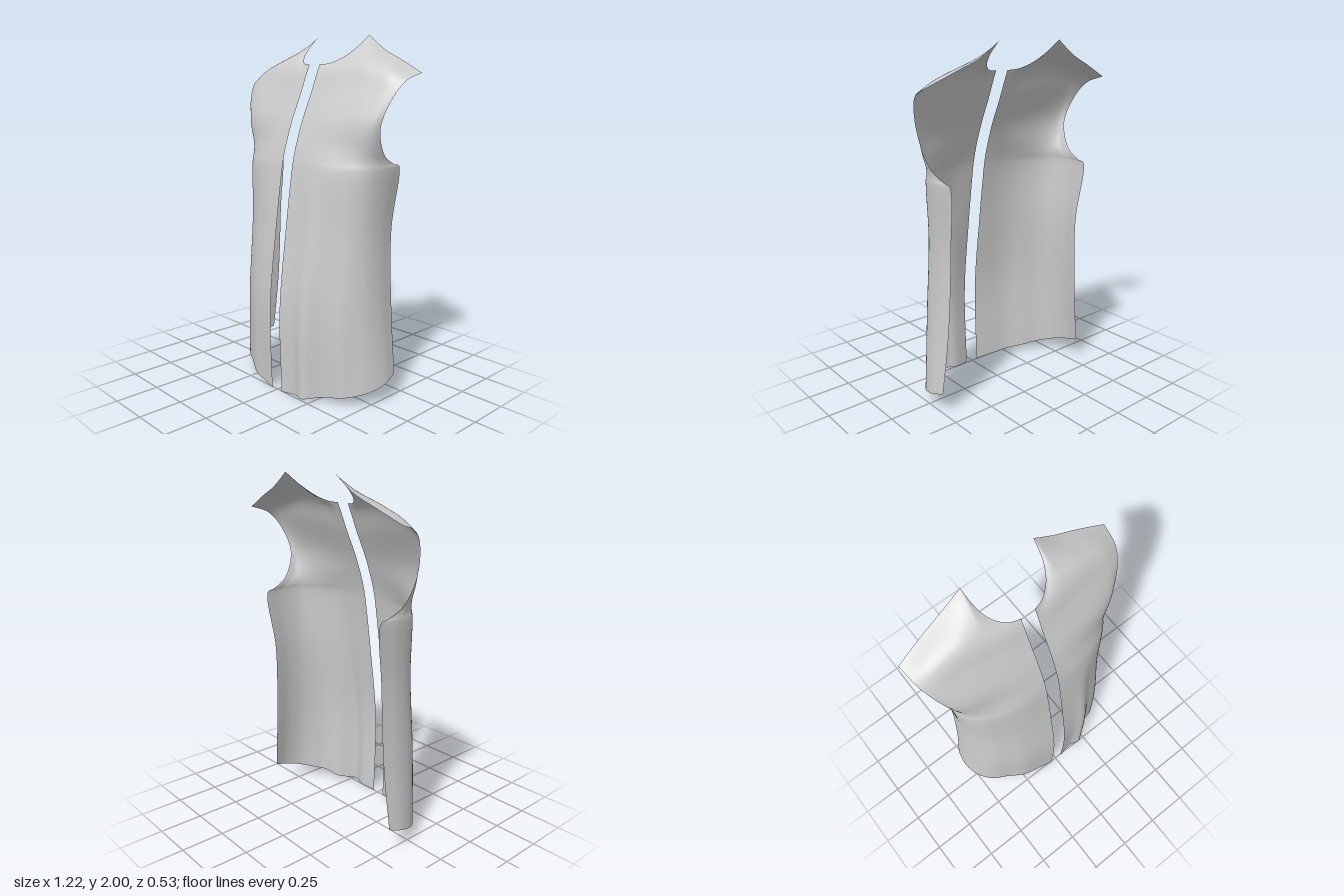
import * as THREE from 'three';

const { lerp, clamp } = THREE.MathUtils;
const spline = (pts) => new THREE.CatmullRomCurve3(pts.map((p) => new THREE.Vector3(...p)));

// How far out (x) and how far forward (z) the cloth sits between the
// opening and the outer edge: hem, chest and yoke proportions
const REACH = [[.385, .615, .845, .98, 1.025], [.41, .66, .87, .985, 1.025], [.27, .45, .62, .75, .89]];
const DEPTH = [[.91, .8, .64, .44, .21], [.97, .89, .755, .585, .32], [.88, .72, .56, .42, .25]];

// Cross-section from the centre opening round to the side seam or armhole;
// zone runs 0 hem, 1 chest, 2 yoke and rise lifts the middle over the shoulder
function section(yc, zc, xe, ye, ze, zone, rise) {
  const k = zone < 1 ? 0 : 1;
  const mix = (table, i) => lerp(table[k][i], table[k + 1][i], zone - k);
  const pts = [[.04, yc, zc]];
  for (let i = 0; i < 5; i++) {
    const t = (i + 1) / 6, lift = rise * Math.sin(Math.PI * t);
    pts.push([xe * mix(REACH, i), lerp(yc, ye, t ** 1.3) + lift, lerp(ze, zc, mix(DEPTH, i)) - .3 * lift]);
  }
  pts.push([xe, ye, ze]);
  return spline(pts);
}

// Sections from the hem up
const SECTIONS = [
  section(0, .256, .52, .14, -.165, 0, 0),
  section(.5, .265, .48, .5, -.175, .3, 0),
  section(.95, .215, .46, .95, -.182, .6, 0),
  section(1.28, .168, .48, 1.3, -.212, 1, 0),
  section(1.34, .156, .483, 1.315, -.165, 1.1, 0),
  section(1.42, .133, .497, 1.375, -.065, 1.35, 0),
  section(1.54, .09, .522, 1.52, -.005, 1.5, .01),
  section(1.68, .027, .572, 1.68, -.048, 2, .035),
  section(1.78, -.014, .598, 1.752, -.11, 2.3, .085),
];

// Top edge: neckline, then a sharp corner into the shoulder seam
const neckline = spline([[.04, 1.84, -.04], [.1, 1.846, -.06], [.155, 1.876, -.105], [.192, 1.93, -.175], [.205, 2, -.262]]);
const shoulder = spline([[.205, 2, -.262], [.32, 1.92, -.257], [.45, 1.862, -.242], [.61, 1.79, -.215]]);
const NECK_U = 1 / 3;
const topEdge = (u) => u <= NECK_U
  ? neckline.getPoint(u / NECK_U)
  : shoulder.getPoint((u - NECK_U) / (1 - NECK_U));

// Soft vertical drapes that fade out towards the chest
function drape(p, side) {
  const fade = clamp(1 - p.y / 1.25, 0, 1);
  const ridge = (x, width) => Math.exp(-(((p.x - x) / width) ** 2));
  p.z += fade * (side > 0
    ? .042 * ridge(.21, .05) - .012 * ridge(.3, .035) + .014 * ridge(.4, .035)
    : .008 * ridge(.24, .06) - .006 * ridge(.36, .05));
}

function panelGeometry(side) {
  const NU = 60, NV = 100;
  const position = [], index = [];
  for (let i = 0; i <= NU; i++) {
    const u = i / NU;
    const column = new THREE.CatmullRomCurve3([...SECTIONS.map((s) => s.getPoint(u)), topEdge(u)]);
    for (let j = 0; j <= NV; j++) {
      const p = column.getPoint(j / NV);
      drape(p, side);
      position.push(p.x * side, p.y, p.z);
      if (i < NU && j < NV) {
        const a = i * (NV + 1) + j, b = a + NV + 1;
        if (side > 0) index.push(a, b, b + 1, a, b + 1, a + 1);
        else index.push(a, b + 1, b, a, a + 1, b + 1);
      }
    }
  }
  const geometry = new THREE.BufferGeometry();
  geometry.setAttribute('position', new THREE.Float32BufferAttribute(position, 3));
  geometry.setIndex(index);
  geometry.computeVertexNormals();
  return geometry;
}

export function createModel() {
  const group = new THREE.Group();
  group.name = 'vestFront';
  const cloth = new THREE.MeshStandardMaterial({ color: 0xcccccc, side: THREE.DoubleSide });
  for (const [name, side] of [['leftFrontPanel', 1], ['rightFrontPanel', -1]]) {
    const panel = new THREE.Mesh(panelGeometry(side), cloth);
    panel.name = name;
    group.add(panel);
  }
  return group;
}
